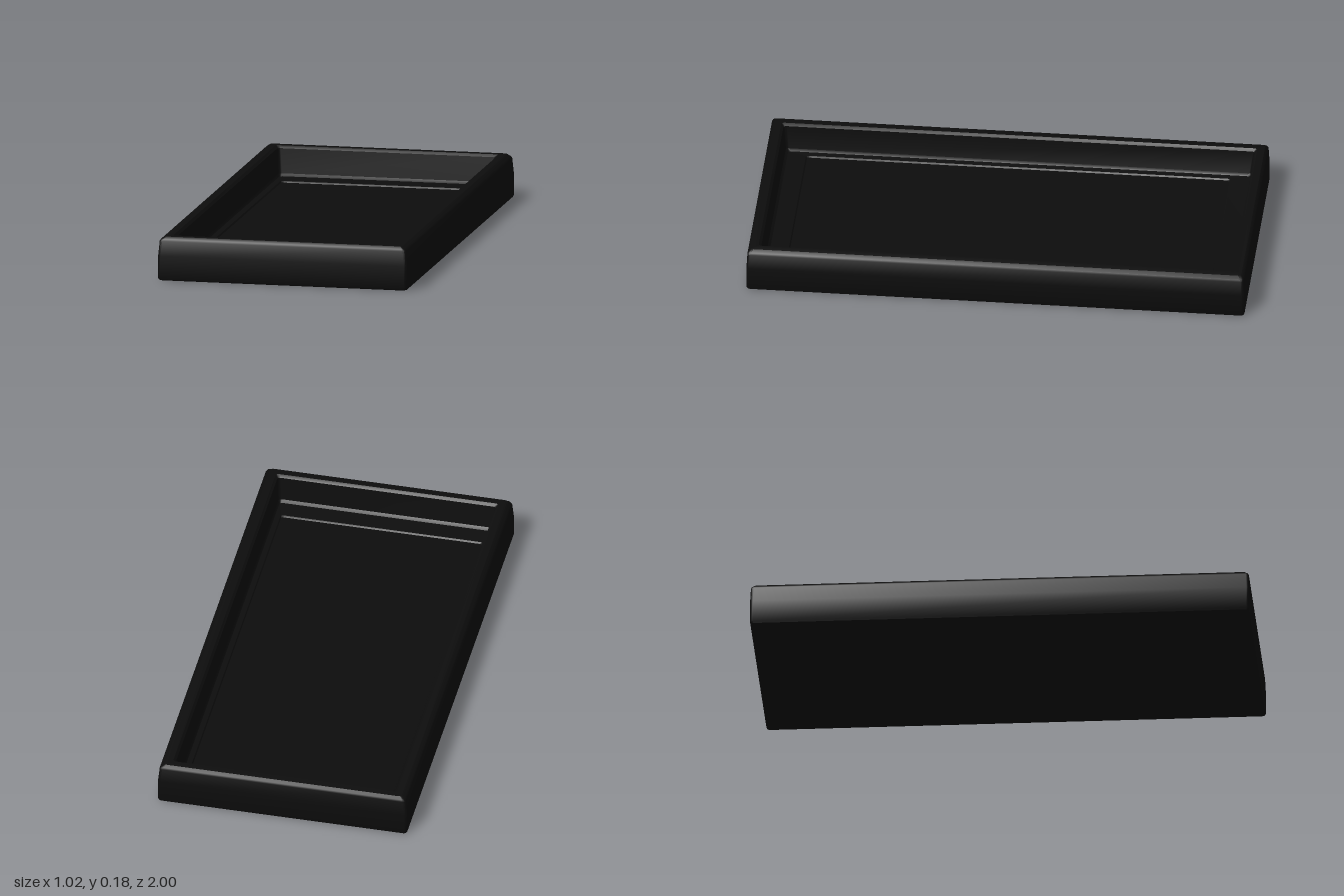
import * as THREE from 'three';
import { toCreasedNormals } from 'three/addons/utils/BufferGeometryUtils.js';

const material = new THREE.MeshStandardMaterial({ color: 0x0d0d0d });
const ARC = 3; // segments in each rounded corner

// Rounded rectangle outline, anticlockwise from above
function ring([hx, hz, y]) {
  const r = Math.min(0.012, hx, hz);
  const points = [];
  const corners = [[1, -1], [-1, -1], [-1, 1], [1, 1]];
  corners.forEach(([sx, sz], k) => {
    for (let i = 0; i <= ARC; i++) {
      const a = (k + i / ARC) * Math.PI / 2;
      points.push([sx * (hx - r) + r * Math.cos(a), y, sz * (hz - r) - r * Math.sin(a)]);
    }
  });
  return points;
}

// Skin a list of [halfWidth, halfLength, height] sections
function loft(name, sections) {
  const rings = sections.map(ring);
  const n = rings[0].length;
  const positions = [];
  const triangle = (a, b, c) => {
    const same = (p, q) => p.every((v, i) => Math.abs(v - q[i]) < 1e-7);
    if (!same(a, b) && !same(b, c) && !same(a, c)) positions.push(...a, ...b, ...c);
  };
  for (let i = 0; i < rings.length - 1; i++) {
    for (let j = 0; j < n; j++) {
      const k = (j + 1) % n;
      triangle(rings[i][j], rings[i][k], rings[i + 1][k]);
      triangle(rings[i][j], rings[i + 1][k], rings[i + 1][j]);
    }
  }
  const geometry = new THREE.BufferGeometry();
  geometry.setAttribute('position', new THREE.Float32BufferAttribute(positions, 3));
  const mesh = new THREE.Mesh(toCreasedNormals(geometry, 0.6), material);
  mesh.name = name;
  return mesh;
}

export function createModel() {
  const tray = new THREE.Group();
  tray.name = 'tray';

  // Underside, outer walls, softened rim and inner walls
  tray.add(loft('trayBody', [
    [0, 0, 0],
    [0.5, 0.99, 0],
    [0.507, 0.997, 0.003],
    [0.51, 1, 0.01],
    [0.51, 1, 0.1],
    [0.504, 0.997, 0.16],
    [0.499, 0.994, 0.168],
    [0.485, 0.985, 0.178],
    [0.456, 0.956, 0.178],
    [0.447, 0.946, 0.168],
    [0.44, 0.936, 0.068],
    [0.434, 0.926, 0.058],
    [0.414, 0.853, 0.054],
  ]));

  // Slightly sunken floor panel
  tray.add(loft('floorPanel', [
    [0.414, 0.853, 0.054],
    [0.41, 0.848, 0.048],
    [0, 0, 0.048],
  ]));

  return tray;
}
